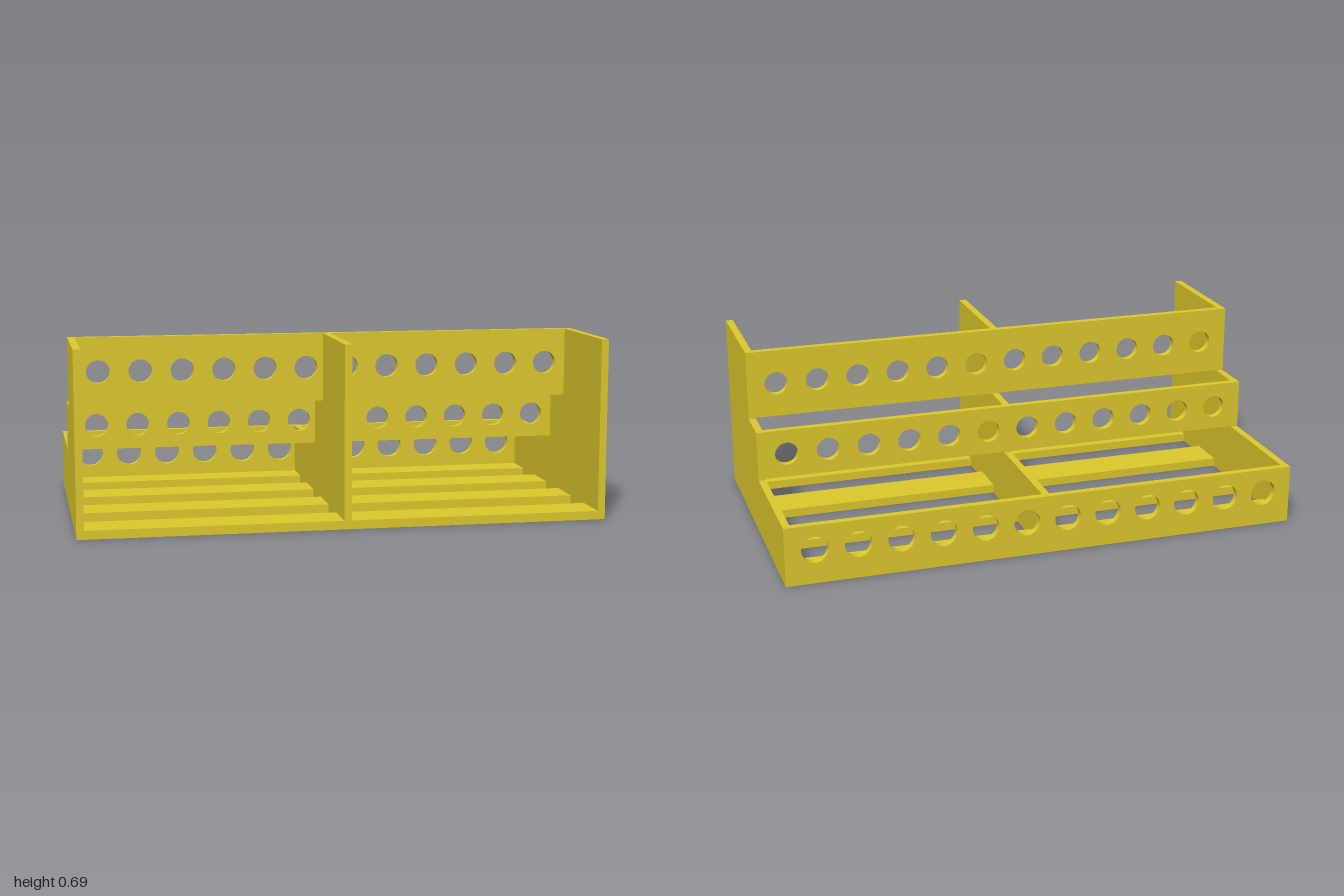
import * as THREE from 'three';

const D = 0.553;        // half depth
const T = 0.028;        // board thickness
const H = [0.69, 0.422, 0.228]; // step heights, front to back
const STEP = [0.094, -0.069, -D]; // z of the rear face of each step

export function createModel() {
  const group = new THREE.Group();
  const material = new THREE.MeshStandardMaterial({ color: 0xdec92c });
  const add = (name, geometry, x, y, z) => {
    const mesh = new THREE.Mesh(geometry, material);
    mesh.name = name;
    mesh.position.set(x, y, z);
    group.add(mesh);
  };

  // Stepped upright boards: two sides and a centre divider
  const profile = new THREE.Shape([
    [D, 0], [D, H[0]], [STEP[0], H[0]], [STEP[0], H[1]],
    [STEP[1], H[1]], [STEP[1], H[2]], [-D, H[2]], [-D, 0],
  ].map(([z, y]) => new THREE.Vector2(-z, y)));
  const upright = new THREE.ExtrudeGeometry(profile, { depth: T, bevelEnabled: false });
  upright.rotateY(Math.PI / 2);
  add('rightSide', upright, -1, 0, 0);
  add('centreDivider', upright, -T / 2, 0, 0);
  add('leftSide', upright, 1 - T, 0, 0);

  // Each bay lies between the divider and one side
  const inner = T / 2, outer = 1 - T;
  const bayWidth = outer - inner, bayCentre = (inner + outer) / 2;

  // Vertical panel with a row of six round holes
  const panel = (side, y0, y1, holeY, radius) => {
    const x0 = side > 0 ? inner : -outer;
    const shape = new THREE.Shape();
    shape.moveTo(x0, y0);
    shape.lineTo(x0 + bayWidth, y0);
    shape.lineTo(x0 + bayWidth, y1);
    shape.lineTo(x0, y1);
    shape.closePath();
    for (let i = 0; i < 6; i++) {
      const hole = new THREE.Path();
      hole.absarc(side * (0.0807 + i * 0.1613), holeY, radius, 0, Math.PI * 2, true);
      shape.holes.push(hole);
    }
    return new THREE.ExtrudeGeometry(shape, { depth: T, bevelEnabled: false, curveSegments: 32 });
  };

  const slat = new THREE.BoxGeometry(bayWidth, 0.033, 0.158);
  for (const side of [1, -1]) {
    // Holed panels closing the rear of each step
    add('topHolePanel', panel(side, 0.425, H[0], 0.557, 0.045), 0, 0, STEP[0]);
    add('middleHolePanel', panel(side, 0.232, H[1], 0.326, 0.045), 0, 0, STEP[1]);
    add('lowerHolePanel', panel(side, 0, H[2], 0.132, 0.051), 0, 0, STEP[2]);

    // Four evenly spaced floor slats
    for (let i = 0; i < 4; i++) {
      add('floorSlat', slat, side * bayCentre, 0.0165, -D + 0.079 + i * 0.316);
    }
  }
  return group;
}
